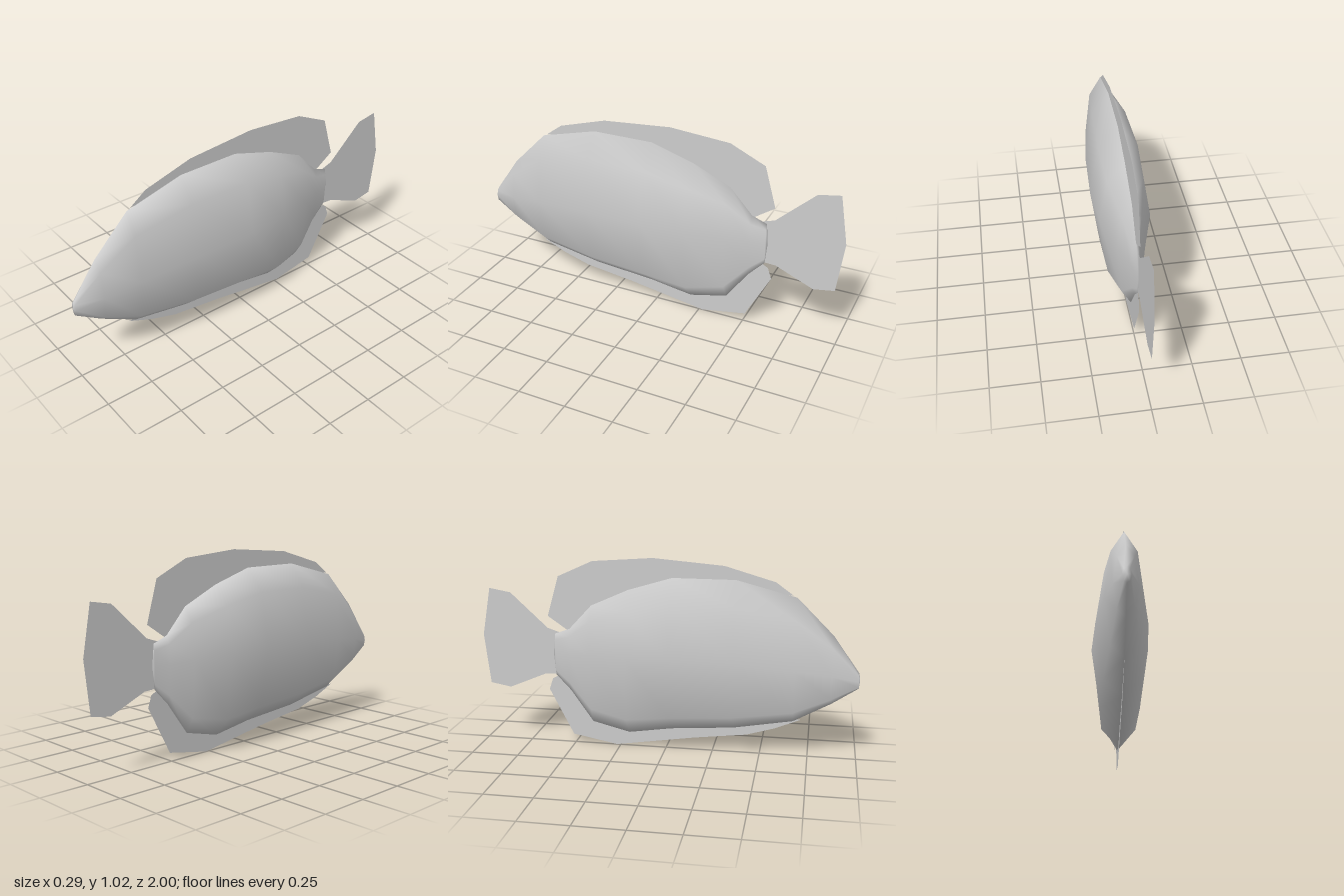
import * as THREE from 'three';

// Body stations from nose to tail root: z, belly y, widest y, back y, half width
const STATIONS = [
  [0.995, 0.39, 0.43, 0.47, 0.02],
  [0.86, 0.30, 0.46, 0.66, 0.058],
  [0.67, 0.195, 0.49, 0.85, 0.092],
  [0.36, 0.14, 0.52, 0.93, 0.13],
  [0.03, 0.115, 0.53, 0.93, 0.147],
  [-0.2, 0.08, 0.53, 0.86, 0.13],
  [-0.4, 0.13, 0.51, 0.77, 0.07],
  [-0.52, 0.30, 0.50, 0.64, 0.026],
  [-0.6, 0.385, 0.50, 0.61, 0.008],
];

// Eight-sided rings joined into one smooth skin, closed at both ends
function bodyGeometry() {
  const pos = [], index = [], n = 8;
  for (const [z, lo, mid, hi, w] of STATIONS) {
    const up = mid + 0.7 * (hi - mid), down = mid - 0.78 * (mid - lo), s = 0.69 * w;
    const ring = [[w, mid], [s, up], [0, hi], [-s, up], [-w, mid], [-s, down], [0, lo], [s, down]];
    for (const [x, y] of ring) pos.push(x, y, z);
  }
  const last = STATIONS.length - 1;
  for (let i = 0; i < last; i++) {
    for (let j = 0; j < n; j++) {
      const a = i * n + j, b = i * n + (j + 1) % n;
      index.push(a, a + n, b, b, a + n, b + n);
    }
  }
  const nose = pos.length / 3, tail = nose + 1;
  pos.push(0, 0.43, 1, 0, 0.5, -0.61);
  for (let j = 0; j < n; j++) {
    const k = (j + 1) % n;
    index.push(nose, j, k, tail, last * n + k, last * n + j);
  }
  const g = new THREE.BufferGeometry();
  g.setAttribute('position', new THREE.Float32BufferAttribute(pos, 3));
  g.setIndex(index);
  g.computeVertexNormals();
  return g;
}

// Flat fin on the centre plane from [z, y] outline points
function finGeometry(points) {
  const shape = new THREE.Shape(points.map(([z, y]) => new THREE.Vector2(z, y)));
  return new THREE.ShapeGeometry(shape).rotateY(-Math.PI / 2);
}

export function createModel() {
  const group = new THREE.Group();
  group.name = 'fish';
  const grey = new THREE.MeshStandardMaterial({ color: 0xcccccc, side: THREE.DoubleSide });
  grey.name = 'light grey';
  const add = (name, geometry) => {
    const mesh = new THREE.Mesh(geometry, grey);
    mesh.name = name;
    group.add(mesh);
  };

  add('body', bodyGeometry());

  // Fins, with their roots buried in the body
  add('dorsalFin', finGeometry([
    [0.65, 0.86], [0.56, 0.925], [0.3, 1.0], [-0.07, 1.03], [-0.39, 1.005], [-0.575, 0.92],
    [-0.637, 0.705], [-0.535, 0.635], [-0.5, 0.6], [-0.38, 0.72], [-0.2, 0.8], [0.03, 0.88], [0.36, 0.88],
  ]));
  add('analFin', finGeometry([
    [0.71, 0.205], [0.58, 0.15], [0.43, 0.105], [0.15, 0.07], [-0.27, 0.005], [-0.51, 0.05],
    [-0.64, 0.3], [-0.62, 0.36], [-0.575, 0.385], [-0.5, 0.36], [-0.38, 0.18], [-0.2, 0.14], [0.36, 0.2],
  ]));
  add('tailFin', finGeometry([
    [-0.55, 0.61], [-0.64, 0.64], [-0.84, 0.825], [-0.955, 0.845], [-1, 0.59],
    [-0.97, 0.32], [-0.86, 0.3], [-0.66, 0.385], [-0.57, 0.39],
  ]));
  return group;
}
